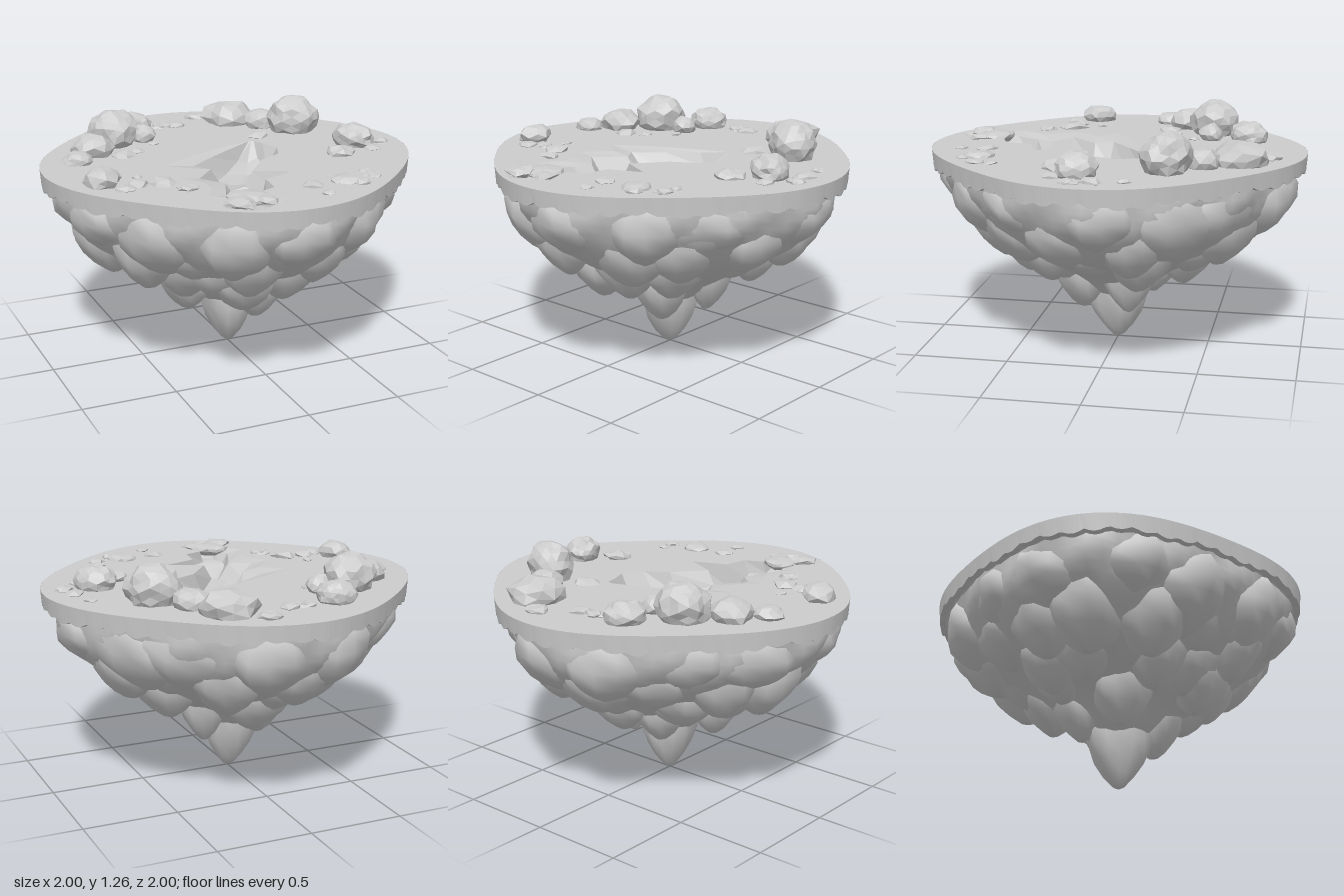
import * as THREE from 'three';
import { mergeVertices } from 'three/addons/utils/BufferGeometryUtils.js';

const TOP = 1.06;
const TAU = Math.PI * 2;

// small seeded random generator
function seeded(seed) {
  let s = seed;
  return () => {
    s = (s * 16807) % 2147483647;
    return s / 2147483647;
  };
}

// rounded diamond outline of the island
const outline = a => 0.962 + 0.038 * Math.cos(4 * a);

const stone = (flatShading, side = THREE.FrontSide) =>
  new THREE.MeshStandardMaterial({ color: 0xcccccc, flatShading, side });

// drop uv and normals, weld the seam, move each vertex by a rule
function reshape(geometry, rule) {
  geometry.deleteAttribute('uv');
  geometry.deleteAttribute('normal');
  const g = mergeVertices(geometry, 1e-4);
  const p = g.attributes.position;
  const v = new THREE.Vector3();
  for (let i = 0; i < p.count; i++) {
    v.fromBufferAttribute(p, i);
    rule(v);
    p.setXYZ(i, v.x, v.y, v.z);
  }
  g.computeVertexNormals();
  return g;
}

function addMesh(parent, name, geometry, material) {
  const mesh = new THREE.Mesh(geometry, material);
  mesh.name = name;
  parent.add(mesh);
  return mesh;
}

function gridGeometry(rows, closed) {
  const n = rows[0].length, index = [];
  const last = closed ? rows.length : rows.length - 1;
  for (let i = 0; i < last; i++) {
    for (let j = 0; j < n - 1; j++) {
      const a = i * n + j, b = ((i + 1) % rows.length) * n + j;
      index.push(a, a + 1, b, b, a + 1, b + 1);
    }
  }
  const g = new THREE.BufferGeometry();
  g.setAttribute('position', new THREE.Float32BufferAttribute(rows.flat(2), 3));
  g.setIndex(index);
  g.computeVertexNormals();
  return g;
}

// banks of the ravine, paired from back to front, as [x, z]
const leftBank = [[0.2, -0.22], [0.02, -0.15], [-0.2, -0.05], [-0.38, 0.06], [-0.26, 0.16], [-0.38, 0.3],
  [-0.31, 0.4], [-0.3, 0.5], [-0.36, 0.62], [-0.28, 0.7], [-0.38, 0.82], [-0.27, 0.92]];
const rightBank = [[0.25, -0.21], [0.27, -0.14], [0.31, -0.04], [0.26, 0.08], [0.13, 0.15], [0.0, 0.32],
  [0.18, 0.41], [0.0, 0.48], [-0.02, 0.62], [-0.12, 0.66], [-0.06, 0.82], [-0.2, 0.92]];
const ravineDepth = [0, 0.1, 0.14, 0.15, 0.14, 0.1, 0.17, 0.17, 0.13, 0.08, 0.05, 0];

function addGround(parent) {
  // flat top with the ravine cut out
  const pts = [];
  for (let i = 0; i < 96; i++) {
    const a = i / 96 * TAU;
    pts.push(new THREE.Vector2(Math.cos(a), Math.sin(a)).multiplyScalar(outline(a)));
  }
  const shape = new THREE.Shape(pts);
  const loop = [...leftBank, ...[...rightBank].reverse()];
  shape.holes.push(new THREE.Path(loop.map(([x, z]) => new THREE.Vector2(x, -z))));
  const top = new THREE.ShapeGeometry(shape).rotateX(-Math.PI / 2).translate(0, TOP, 0);
  addMesh(parent, 'groundTop', top, stone(true));

  // ravine: long slope on the left, steep wall on the right
  const rows = leftBank.map(([lx, lz], i) => {
    const [rx, rz] = rightBank[i];
    return [[0, 0], [0.25, 0.12], [0.42, 0.85], [0.65, 1], [0.88, 0.8], [1, 0]].map(([t, d]) =>
      [lx + (rx - lx) * t, TOP - d * ravineDepth[i], lz + (rz - lz) * t]);
  });
  addMesh(parent, 'ravine', gridGeometry(rows), stone(true, THREE.DoubleSide));

  // turf rim with a scalloped lower edge
  const rim = [];
  for (let i = 0; i < 240; i++) {
    const a = i / 240 * TAU, r = outline(a);
    const y = 0.985 - 0.02 * Math.abs(Math.sin(a * 26)) + 0.008 * Math.sin(a * 13 + 1);
    rim.push([[r, TOP], [r * 0.993, y], [r * 0.96, y - 0.002], [r * 0.92, 1.0]]
      .map(([q, h]) => [q * Math.cos(a), h, q * Math.sin(a)]));
  }
  addMesh(parent, 'turfRim', gridGeometry(rim, true), stone(true, THREE.DoubleSide));
}

// hanging rock: broad angular shoulders, pointed bottom that leans inward (local +x is outward)
function lobeGeometry(radius, height, seed, lean) {
  const profile = [[0, 0], [0.2, 0.03], [0.48, 0.13], [0.75, 0.27], [0.94, 0.43],
    [1, 0.6], [0.96, 0.8], [0.8, 0.97], [0, 1]].map(([r, y]) => new THREE.Vector2(r * radius, y * height));
  return reshape(new THREE.LatheGeometry(profile, 14), v => {
    const a = Math.atan2(v.z, v.x), t = v.y / height;
    const k = 1 + 0.07 * Math.sin(3 * a + seed + t * 2) + 0.06 * Math.sin(5 * a + seed * 2 - t * 6);
    v.x = v.x * k + lean * (t - 0.6);
    v.z *= k * 1.18;
  });
}

function addUnderside(parent) {
  // bulky core with soft folds, filling between the lobes
  const core = [[0.02, 0.22], [0.16, 0.29], [0.3, 0.4], [0.5, 0.51], [0.71, 0.64], [0.85, 0.77],
    [0.92, 0.89], [0.935, 1.0]];
  const coreGeometry = reshape(
    new THREE.LatheGeometry(new THREE.SplineCurve(core.map(([r, y]) => new THREE.Vector2(r, y))).getPoints(20), 72),
    v => {
      const a = Math.atan2(v.z, v.x);
      const k = outline(a) * (1 + 0.025 * Math.sin(11 * a + v.y * 9) * Math.cos(v.y * 14 + 3 * a));
      v.x *= k;
      v.z *= k;
    });
  addMesh(parent, 'rockCore', coreGeometry, stone(false, THREE.DoubleSide));

  const rand = seeded(41);
  const rock = stone(false);
  const addLobe = (name, angle, r, low, top, radius, lean) => {
    const lobe = addMesh(parent, name, lobeGeometry(radius, top - low, rand() * 9, lean), rock);
    lobe.position.set(r * Math.cos(angle), low, r * Math.sin(angle));
    lobe.rotation.y = -angle;
  };

  // upper rings: count, ring radius, top, bottom, lobe radius, phase
  const rings = [
    [13, 0.76, 1.0, 0.65, 0.2, 0.04],
    [13, 0.665, 0.9, 0.53, 0.165, 0.28],
    [10, 0.49, 0.78, 0.43, 0.16, 0.12],
  ];
  rings.forEach(([count, ring, top, bottom, radius, phase], k) => {
    for (let i = 0; i < count; i++) {
      const a = (i + (rand() - 0.5) * 0.35) / count * TAU + phase;
      const size = radius * (0.92 + rand() * 0.2);
      const r = Math.min(ring * outline(a) + (rand() - 0.5) * 0.03, outline(a) * 0.965 - size * 1.08);
      addLobe('hangingRock' + (k + 1), a, r, bottom + (rand() - 0.5) * 0.1, top, size, 0.05);
    }
  });

  // lower lobes: x, z, bottom, top, radius
  const lower = [
    [-0.1, 0.44, 0.35, 0.72, 0.16], [0.02, -0.38, 0.33, 0.7, 0.16], [0.1, 0.19, 0.19, 0.6, 0.135],
    [0.2, -0.1, 0.2, 0.62, 0.12], [-0.28, 0.06, 0.25, 0.62, 0.135], [-0.1, -0.2, 0.24, 0.6, 0.13],
    [0.28, 0.25, 0.4, 0.68, 0.13], [-0.28, -0.26, 0.39, 0.66, 0.13],
  ];
  lower.forEach(([x, z, low, top, radius]) =>
    addLobe('lowerRock', Math.atan2(z, x), Math.hypot(x, z), low, top, radius, 0.04));
  addLobe('bottomTip', 0, 0, 0, 0.56, 0.15, 0);
}

// faceted boulder, squashed to the wanted height
function addBoulder(parent, name, x, z, r, height, detail, rough, seed) {
  const rand = seeded(seed * 977 + 13);
  const g = reshape(new THREE.IcosahedronGeometry(1, detail), v =>
    v.multiplyScalar(1 + (rand() - 0.5) * rough));
  const mesh = addMesh(parent, name, g, stone(true));
  const base = TOP - r * 0.35;
  const half = (TOP + height - base) / 2;
  mesh.scale.set(r, half, r * (0.8 + rand() * 0.3));
  mesh.position.set(x, base + half, z);
  mesh.rotation.y = rand() * TAU;
}

function addStones(parent) {
  // x, z, radius, height above ground, detail
  const boulders = [
    [-0.48, -0.46, 0.137, 0.19, 2], [-0.29, -0.67, 0.105, 0.11, 2], [-0.65, -0.31, 0.115, 0.11, 1],
    [-0.77, -0.17, 0.08, 0.06, 1], [-0.3, -0.46, 0.065, 0.09, 1], [0.3, -0.68, 0.147, 0.12, 1],
    [0.42, -0.5, 0.09, 0.1, 1], [0.55, -0.34, 0.142, 0.2, 2], [0.71, 0.07, 0.115, 0.12, 2],
    [-0.78, 0.25, 0.09, 0.09, 1], [-0.2, 0.72, 0.1, 0.03, 1], [0.36, 0.66, 0.08, 0.03, 1],
  ];
  boulders.forEach(([x, z, r, h, d], i) =>
    addBoulder(parent, 'boulder', x, z, r, h, d, d > 1 ? 0.2 : 0.26, i + 1));

  // x, z, radius of the low loose stones
  const pebbles = [
    [-0.52, -0.21, 0.065], [-0.11, -0.7, 0.055], [-0.02, -0.69, 0.065], [0.15, -0.82, 0.065],
    [0.32, -0.31, 0.07], [0.56, 0.21, 0.085], [0.85, -0.02, 0.065], [0.88, 0.08, 0.05],
    [0.77, 0.18, 0.05], [0.82, -0.18, 0.035], [-0.7, 0.37, 0.065], [-0.62, 0.33, 0.055],
    [-0.5, 0.35, 0.08], [-0.58, 0.2, 0.03], [0.17, 0.67, 0.055], [0.52, 0.64, 0.045],
    [0.52, 0.55, 0.035], [0.18, 0.81, 0.035], [0.41, 0.73, 0.045], [-0.28, 0.81, 0.075],
    [-0.14, 0.79, 0.06], [-0.42, 0.48, 0.05], [-0.28, -0.37, 0.035], [-0.41, -0.26, 0.035],
  ];
  pebbles.forEach(([x, z, r], i) =>
    addBoulder(parent, 'looseStone', x, z, r, r * 0.45, i % 2, 0.5, i + 40));
}

export function createModel() {
  const island = new THREE.Group();
  island.name = 'floatingIsland';
  const parts = { ground: addGround, underside: addUnderside, stones: addStones };
  for (const [name, build] of Object.entries(parts)) {
    const group = new THREE.Group();
    group.name = name;
    build(group);
    island.add(group);
  }
  return island;
}
